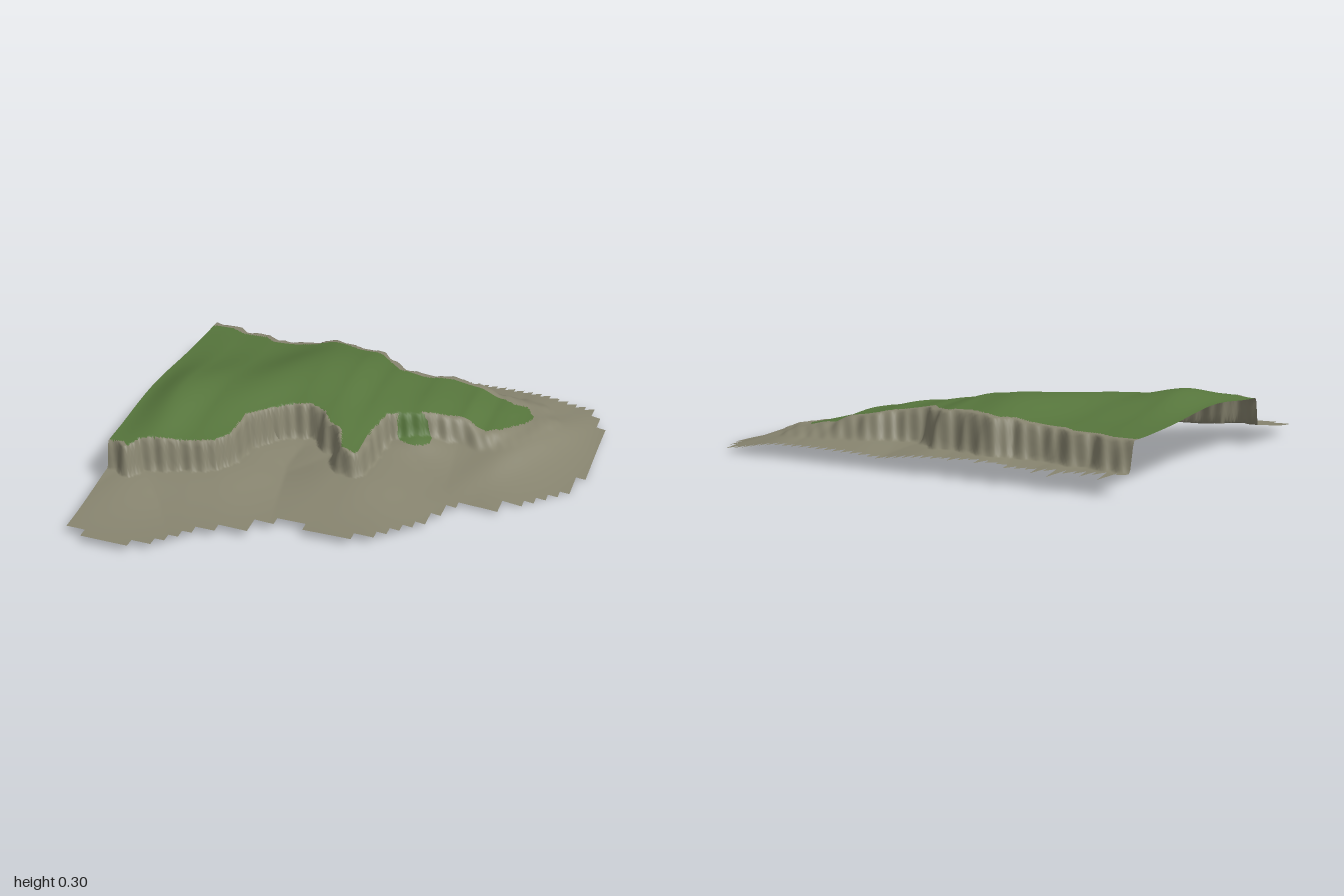
import * as THREE from 'three';

const CELL = 2 / 46;          // coarse tile that steps the outer border
const SUB = 4;                // fine quads per tile
const STEP = CELL / SUB;
const BACK = -19 * CELL;

// Outline of the grassy plateau, as x, z pairs
const GRASS = [
  [-1.3, 0.42], [-0.93, 0.43], [-0.9, 0.46], [-0.87, 0.4], [-0.8, 0.37], [-0.66, 0.33], [-0.56, 0.29],
  [-0.51, 0.22], [-0.5, 0.07], [-0.42, -0.01], [-0.33, -0.08], [-0.25, -0.11], [-0.17, -0.08],
  [-0.12, -0.01], [-0.06, 0.01], [-0.02, 0.13], [0.05, 0.14], [0.06, -0.05], [0.09, -0.18],
  [0.17, -0.24], [0.27, -0.28], [0.4, -0.33], [0.52, -0.31], [0.58, -0.36], [0.66, -0.47],
  [0.69, -0.54], [0.64, -0.62], [0.58, -0.6], [0.52, -0.62], [0.28, -0.62], [0.17, -0.57],
  [0.03, -0.56], [-0.05, -0.63], [-0.1, -0.67], [-0.2, -0.66], [-0.28, -0.69], [-0.37, -0.71],
  [-0.42, -0.67], [-0.65, -0.66], [-0.7, -0.7], [-0.82, -0.7], [-0.9, -0.74], [-1.3, -0.72],
];

// Stepped front border: up to this x, the land reaches this z
const FRONT = [
  [-0.91, 0.88], [-0.7, 0.92], [-0.62, 0.88], [-0.58, 0.835], [-0.535, 0.79], [-0.49, 0.75], [-0.405, 0.705],
  [-0.28, 0.66], [-0.24, 0.62], [-0.195, 0.575], [-0.065, 0.535], [0.19, 0.575], [0.275, 0.535],
  [0.315, 0.49], [0.36, 0.45], [0.4, 0.405], [0.445, 0.36], [0.49, 0.28], [0.53, 0.195], [0.62, 0.15],
  [0.7, 0.11], [0.785, 0.065], [0.825, 0.02], [0.87, -0.025], [0.91, -0.105], [0.95, -0.145], [2, -0.275],
];

// Height of the crest and of the cliff rim, and z of the crest, along x
const CREST = [[-1, 0.25], [-0.83, 0.3], [-0.65, 0.277], [-0.3, 0.292], [-0.15, 0.28], [0, 0.25], [0.2, 0.22],
  [0.4, 0.185], [0.52, 0.14], [0.7, 0.11], [1, 0.1]];
const RIM = [[-1, 0.21], [-0.1, 0.21], [0.1, 0.18], [0.35, 0.165], [0.5, 0.125], [0.7, 0.1], [1, 0.09]];
const CREST_Z = [[-1, 0], [-0.83, 0], [-0.65, -0.12], [-0.3, -0.4], [1, -0.47]];

function along(table, x) {
  if (x <= table[0][0]) return table[0][1];
  for (let i = 1; i < table.length; i++) {
    const [x0, v0] = table[i - 1], [x1, v1] = table[i];
    if (x <= x1) return v0 + (v1 - v0) * THREE.MathUtils.smoothstep(x, x0, x1);
  }
  return table[table.length - 1][1];
}

// Distance to the plateau outline, negative inside
function plateauDistance(x, z) {
  let best = Infinity, inside = false;
  GRASS.forEach(([ax, az], i) => {
    const [bx, bz] = GRASS[(i + 1) % GRASS.length];
    const dx = bx - ax, dz = bz - az;
    const t = THREE.MathUtils.clamp(((x - ax) * dx + (z - az) * dz) / (dx * dx + dz * dz), 0, 1);
    best = Math.min(best, Math.hypot(x - ax - t * dx, z - az - t * dz));
    if ((az > z) !== (bz > z) && x < ax + ((z - az) / dz) * dx) inside = !inside;
  });
  return inside ? -best : best;
}

const bump = (x, z, cx, cz, rx, rz) => Math.exp(-(((x - cx) / rx) ** 2) - ((z - cz) / rz) ** 2);
const inPatch = (x, z) => Math.hypot((x - 0.215) / 0.08, (z + 0.2) / 0.058) < 1;

function landHeight(x, z) {
  const { smoothstep, lerp } = THREE.MathUtils;
  const d = plateauDistance(x, z);
  // rounded plateau top
  const rim = along(RIM, x);
  const top = rim + (along(CREST, x) - rim) * Math.exp(-(((z - along(CREST_Z, x)) / 0.35) ** 2))
    + 0.003 * Math.sin(9 * x + 5 * z) * smoothstep(-d, 0, 0.15);
  // sloping ground with soft swells, falling away to the right
  const out = Math.max(d, 0);
  const ground = 0.035 + 0.06 * Math.exp(-((out / 0.26) ** 2))
    + 0.004 * Math.sin(7 * x - 4 * z) * Math.sin(5 * z + 2 * x)
    + 0.03 * bump(x, z, 0.22, -0.2, 0.12, 0.09)
    + 0.018 * bump(x + 0.5 * z, z, 0.52, -0.4, 0.09, 0.4)
    - 0.03 * smoothstep(x, 0.6, 1) - 0.015 * smoothstep(x, 0.2, 0.6) * smoothstep(z, -0.6, 0.1);
  // cliff band, ribbed by gullies and widening toward the low end
  const ribs = 0.006 * Math.sin(47 * x + 23 * z) + 0.004 * Math.sin(91 * x - 67 * z);
  const back = smoothstep(-z, 0.45, 0.6);
  const low = smoothstep(x, 0.1, 0.6);
  const start = lerp(0.01, 0.025, back);
  const end = lerp(0.045, 0.08, back) + 0.06 * low;
  return lerp(top, ground, smoothstep(d + ribs, start, end));
}

function insideBorder(x, z) {
  if (z < -0.7 && x > 0.955) return false;
  if (z < -0.78 && x > 0.91) return false;
  return z < FRONT.find(([limit]) => x < limit)[1];
}

export function createModel() {
  const grass = new THREE.MeshStandardMaterial({ color: 0x56753c, side: THREE.DoubleSide });
  grass.name = 'grass green';
  const rock = new THREE.MeshStandardMaterial({ color: 0x87846f, side: THREE.DoubleSide });
  rock.name = 'rock grey';

  const points = [], grassFaces = [], rockFaces = [], lookup = new Map();
  const vertex = (x, z) => {
    const key = `${x.toFixed(4)},${z.toFixed(4)}`;
    if (!lookup.has(key)) {
      lookup.set(key, points.length / 3);
      points.push(x, landHeight(x, z), z);
    }
    return lookup.get(key);
  };
  const face = (...corners) => {
    const x = corners.reduce((s, c) => s + c[0], 0) / 3;
    const z = corners.reduce((s, c) => s + c[1], 0) / 3;
    const list = plateauDistance(x, z) < 0 || inPatch(x, z) ? grassFaces : rockFaces;
    list.push(...corners.map(([cx, cz]) => vertex(cx, cz)));
  };

  // Tiles of land inside the stepped border
  for (let i = 0; i < 46; i++) {
    for (let j = 0; j < 41; j++) {
      const tx = -1 + i * CELL, tz = BACK + j * CELL;
      if (!insideBorder(tx + CELL / 2, tz + CELL / 2)) continue;
      for (let k = 0; k < SUB * SUB; k++) {
        const x = tx + (k % SUB) * STEP, z = tz + Math.floor(k / SUB) * STEP;
        const x1 = x + STEP, z1 = z + STEP;
        face([x, z], [x, z1], [x1, z1]);
        face([x, z], [x1, z1], [x1, z]);
      }
    }
  }

  // Saw teeth along the back border, longer at a few places on the left
  const longTeeth = { 1: 0.085, 3: 0.06, 6: 0.09, 8: 0.06, 14: 0.05 };
  for (let i = 0; i < 44; i++) {
    const x = -1 + i * CELL;
    const reach = longTeeth[i] ?? (i < 20 ? 0.02 + 0.01 * (i % 3) : 0.036);
    for (let k = 0; k < SUB; k++) {
      const xa = x + k * STEP, xb = xa + STEP;
      const za = BACK - (reach * k) / SUB, zb = BACK - (reach * (k + 1)) / SUB;
      face([xa, BACK], [xb, BACK], [xb, zb]);
      if (k > 0) face([xa, BACK], [xb, zb], [xa, za]);
    }
  }

  // One smooth surface, shared by the grass and rock parts
  const land = new THREE.BufferGeometry();
  land.setAttribute('position', new THREE.Float32BufferAttribute(points, 3));
  land.setIndex([...grassFaces, ...rockFaces]);
  land.computeVertexNormals();
  land.computeBoundingBox();
  land.translate(0, -land.boundingBox.min.y, 0);

  const group = new THREE.Group();
  group.name = 'clifftopLand';
  const addPart = (name, faces, material) => {
    const part = new THREE.BufferGeometry();
    part.setAttribute('position', land.attributes.position);
    part.setAttribute('normal', land.attributes.normal);
    part.setIndex(faces);
    const mesh = new THREE.Mesh(part, material);
    mesh.name = name;
    group.add(mesh);
  };
  addPart('grassPlateau', grassFaces, grass);
  addPart('rockCliffsAndShore', rockFaces, rock);
  return group;
}
